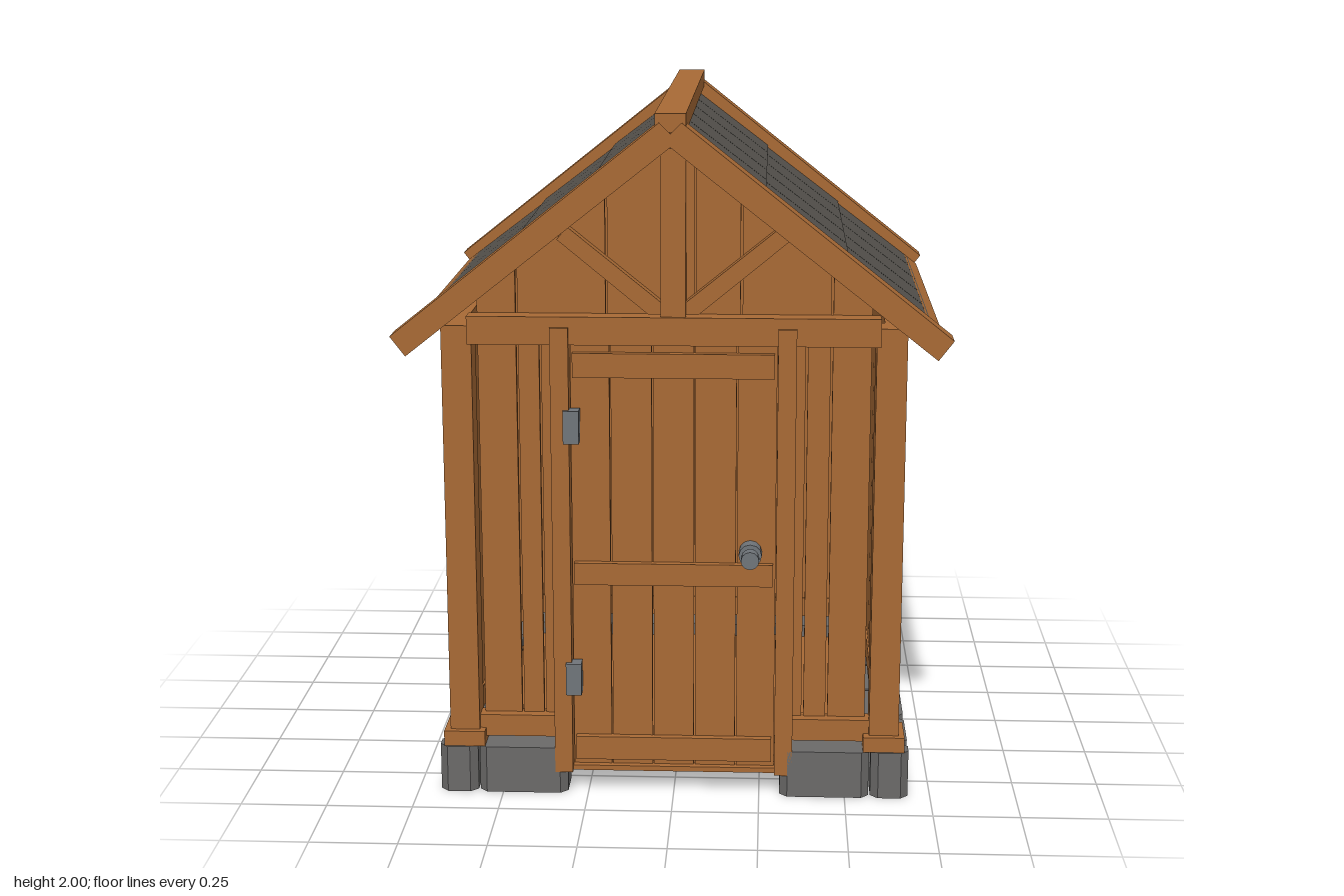
import * as THREE from 'three';

const mat = (name, color) => {
  const m = new THREE.MeshStandardMaterial({ color });
  m.name = name;
  return m;
};

export function createModel() {
  const wood = mat('wood', 0xa86a35);
  const slate = mat('slate', 0x55524d);
  const stone = mat('stone', 0x6b6a69);
  const metal = mat('metal', 0x70757a);
  const root = new THREE.Group();
  root.name = 'shed';

  const add = (name, geo, m, parent = root) => {
    const mesh = new THREE.Mesh(geo, m);
    mesh.name = name;
    parent.add(mesh);
    return mesh;
  };
  // Box given by its extents on each axis
  const box = (name, m, x0, x1, y0, y1, z0, z1, parent) => {
    const mesh = add(name, new THREE.BoxGeometry(x1 - x0, y1 - y0, z1 - z0), m, parent);
    mesh.position.set((x0 + x1) / 2, (y0 + y1) / 2, (z0 + z1) / 2);
    return mesh;
  };
  const group = (name, parent = root) => {
    const g = new THREE.Group();
    g.name = name;
    parent.add(g);
    return g;
  };
  // Outline in x and y, extruded from z0 to z1
  const prism = (name, m, points, z0, z1, parent) => {
    const shape = new THREE.Shape(points.map(([x, y]) => new THREE.Vector2(x, y)));
    const geo = new THREE.ExtrudeGeometry(shape, { depth: z1 - z0, bevelEnabled: false });
    geo.translate(0, 0, z0);
    return add(name, geo, m, parent);
  };

  const APEX = 1.998, SLOPE = 0.79, ANGLE = Math.atan(SLOPE);
  const roofY = (x) => 1.918 - SLOPE * Math.abs(x);

  // Foundation stones with chamfered upright edges
  const foundation = group('foundation');
  const block = (x0, x1, z0, z1) => {
    const c = 0.022;
    const mesh = prism('foundationStone', stone, [
      [x0 + c, -z1], [x1 - c, -z1], [x1, -z1 + c], [x1, -z0 - c],
      [x1 - c, -z0], [x0 + c, -z0], [x0, -z0 - c], [x0, -z1 + c]], 0, 0.14, foundation);
    mesh.rotation.x = -Math.PI / 2;
  };
  const sideZ = [[-0.545, -0.345], [-0.335, -0.118], [-0.108, 0.108], [0.118, 0.335], [0.345, 0.545]];
  for (const [z0, z1] of sideZ) {
    block(0.55, 0.685, z0, z1);
    block(-0.685, -0.55, z0, z1);
  }
  for (const s of [-1, 1]) {
    const [a, b] = s > 0 ? [0.575, 0.685] : [-0.685, -0.575];
    block(a, b, 0.55, 0.63);
    block(a, b, -0.63, -0.55);
    const [c, d] = s > 0 ? [0.31, 0.57] : [-0.57, -0.31];
    block(c, d, 0.495, 0.63);
    block(c, d, -0.63, -0.495);
    const [e, f] = s > 0 ? [0.006, 0.3] : [-0.3, -0.006];
    block(e, f, -0.63, -0.495);
  }
  box('floor', wood, -0.56, 0.56, 0.07, 0.1, -0.56, 0.56);

  // Corner posts on their pads
  for (const sx of [-1, 1]) for (const sz of [-1, 1]) {
    const corner = group('cornerPost');
    corner.position.set(sx * 0.612, 0, sz * 0.56);
    box('post', wood, -0.043, 0.043, 0.18, 1.39, -0.045, 0.045, corner);
    box('postBase', wood, -0.06, 0.06, 0.14, 0.185, -0.064, 0.064, corner);
  }

  // Row of upright planks between neighbouring edges, cut to the roof where needed
  const GAP = 0.003;
  const planks = (parent, edges, y0, top, z0, z1) => {
    for (let i = 0; i < edges.length - 1; i++) {
      const a = edges[i] + GAP, b = edges[i + 1] - GAP;
      const pts = [[a, y0], [b, y0], [b, top(b)]];
      if (a < 0 && b > 0) pts.push([0, top(0)]);
      pts.push([a, top(a)]);
      prism('plank', wood, pts, z0, z1, parent);
    }
  };

  // Front and back walls with gable trusses
  const gableEdges = [-0.56, -0.445, -0.19, 0.06, 0.19, 0.445, 0.56];
  const flat = () => 1.36;
  for (const s of [1, -1]) {
    const wall = group(s > 0 ? 'frontWall' : 'backWall');
    const z = (a, b) => (s > 0 ? [a, b] : [-b, -a]);
    planks(wall, gableEdges, 1.36, roofY, ...z(0.54, 0.56));
    if (s > 0) {
      for (const e of [[-0.56, -0.445, -0.38, -0.3], [0.3, 0.375, 0.445, 0.56]]) planks(wall, e, 0.2, flat, 0.54, 0.56);
      box('bottomRail', wood, -0.57, -0.34, 0.16, 0.225, 0.535, 0.59, wall);
      box('bottomRail', wood, 0.34, 0.57, 0.16, 0.225, 0.535, 0.59, wall);
    } else {
      planks(wall, gableEdges, 0.2, flat, -0.56, -0.54);
      box('bottomRail', wood, -0.57, 0.57, 0.16, 0.225, -0.59, -0.535, wall);
    }
    box('tieBeam', wood, -0.58, 0.58, 1.34, 1.42, ...z(0.56, 0.62), wall);
    box('kingPost', wood, -0.035, 0.035, 1.42, 1.89, ...z(0.56, 0.61), wall);
    for (const sx of [-1, 1]) {
      const p = [[0.035, 1.425], [0.07, 1.425], [0.325, 1.635], [0.295, 1.67], [0.035, 1.46]];
      const pts = p.map(([x, y]) => [sx * x, y]);
      prism('brace', wood, pts, ...z(0.56, 0.6), wall);
    }
  }

  // Side walls
  for (const s of [-1, 1]) {
    const wall = group(s > 0 ? 'leftWall' : 'rightWall');
    const x = (a, b) => (s > 0 ? [a, b] : [-b, -a]);
    const edges = s > 0 ? [-0.51, -0.335, -0.11, 0.11, 0.335, 0.45, 0.51] : [-0.51, -0.445, -0.225, 0, 0.22, 0.45, 0.51];
    for (let i = 0; i < edges.length - 1; i++) {
      box('plank', wood, ...x(0.595, 0.615), 0.2, 1.38, edges[i] + GAP, edges[i + 1] - GAP, wall);
    }
    box('bottomRail', wood, ...x(0.59, 0.64), 0.16, 0.225, -0.515, 0.515, wall);
    box('topRail', wood, ...x(0.595, 0.64), 1.32, 1.39, -0.515, 0.515, wall);
  }

  // Door with frame, ledges, hinges and knob
  const door = group('door');
  for (const s of [-1, 1]) box('doorJamb', wood, s * 0.32 - 0.026, s * 0.32 + 0.026, 0.065, 1.39, 0.54, 0.63, door);
  box('doorSill', wood, -0.3, 0.3, 0.065, 0.08, 0.54, 0.61, door);
  const doorEdges = [-0.294, -0.18, -0.06, 0.06, 0.18, 0.294];
  for (let i = 0; i < 5; i++) {
    box('doorPlank', wood, doorEdges[i] + 0.002, doorEdges[i + 1] - 0.002, 0.08, 1.335, 0.565, 0.59, door);
  }
  for (const [a, b] of [[0.1, 0.17], [0.635, 0.7], [1.245, 1.315]]) {
    box('doorLedge', wood, -0.285, 0.285, a, b, 0.585, 0.612, door);
  }
  for (const y of [0.31, 1.06]) box('hinge', metal, -0.31, -0.265, y, y + 0.095, 0.6, 0.645, door);
  const knob = group('knob', door);
  knob.position.set(0.22, 0.735, 0);
  for (const [r, z0, z1] of [[0.033, 0.588, 0.635], [0.016, 0.63, 0.655], [0.026, 0.65, 0.685]]) {
    const part = add('knobPart', new THREE.CylinderGeometry(r, r, z1 - z0, 12), metal, knob);
    part.rotation.x = Math.PI / 2;
    part.position.z = (z0 + z1) / 2;
  }

  // Roof halves, each in a frame whose x runs down the slope
  const roof = group('roof');
  for (const s of [1, -1]) {
    const half = group('roofHalf', roof);
    half.rotation.y = s > 0 ? 0 : Math.PI;
    const slope = group('slope', half);
    slope.position.y = APEX;
    slope.rotation.z = -ANGLE;
    box('roofSheet', slate, 0.05, 0.975, -0.064, -0.047, -0.7, 0.7, slope);
    box('eaveBoard', wood, 0.937, 0.988, -0.07, -0.03, -0.682, 0.682, slope);
    for (let r = 0; r < 3; r++) for (let c = 0; c < 6; c++) {
      const z = (c - 2.5) * 0.234;
      const s0 = 0.04 + r * 0.3;
      const tile = box('roofTile', slate, s0, s0 + 0.31, -0.05, -0.033, z - 0.1145, z + 0.1145, slope);
      tile.rotation.z = 0.02;
    }
    // Bargeboards, mitred with a notch at the top
    const board = [[0, 1.91], [0.728, 1.335], [0.77, 1.39], [0.03, 1.976], [0, 1.946]];
    prism('bargeboard', wood, board, 0.68, 0.768, half);
    prism('bargeboard', wood, board, -0.768, -0.68, half);
  }
  box('ridgeCap', wood, -0.042, 0.042, 1.95, 2, -0.763, 0.763, roof);

  return root;
}
